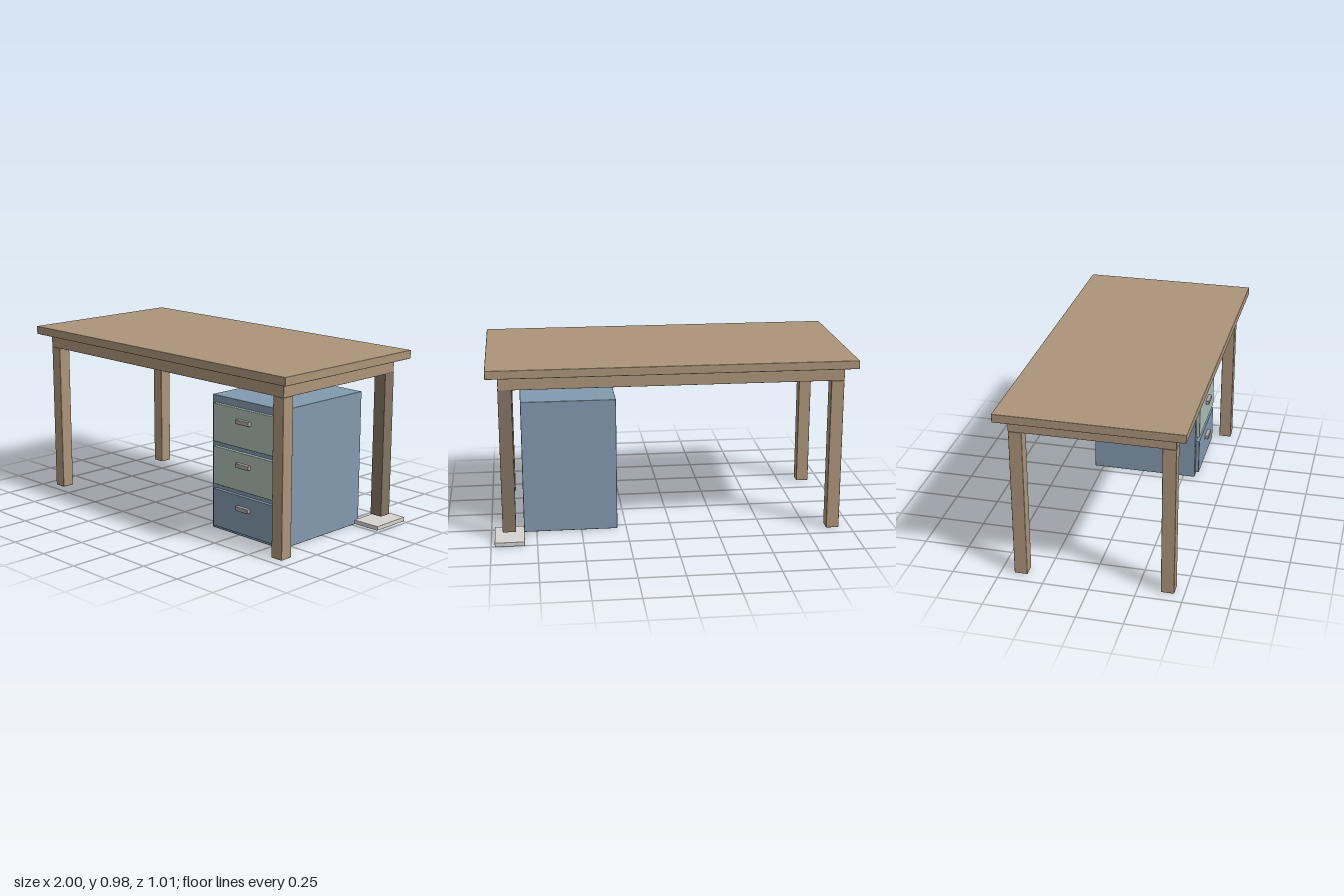
import * as THREE from 'three';
import { RoundedBoxGeometry } from 'three/addons/geometries/RoundedBoxGeometry.js';

const mat = (color) => new THREE.MeshStandardMaterial({ color });

export function createModel() {
  const desk = new THREE.Group();
  desk.name = 'desk';
  const wood = mat(0xac957a), darkWood = mat(0x857563);
  const blue = mat(0x8299ae), green = mat(0xabbfb4);
  const metal = mat(0xaaa7a6), pale = mat(0xd5d3d0);

  // Softly bevelled box given by its [min, max] range on each axis
  const box = (name, material, [x0, x1], [y0, y1], [z0, z1], bevel = 0.004, parent = desk) => {
    const geometry = new RoundedBoxGeometry(x1 - x0, y1 - y0, z1 - z0, 2, bevel);
    const mesh = new THREE.Mesh(geometry, material);
    mesh.name = name;
    mesh.position.set((x0 + x1) / 2, (y0 + y1) / 2, (z0 + z1) / 2);
    parent.add(mesh);
    return mesh;
  };

  // Top and the solid apron under it
  box('tabletop', wood, [-1, 1], [0.93, 0.977], [-0.487, 0.507]);
  box('apron', wood, [-0.935, 0.935], [0.853, 0.93], [-0.425, 0.447], 0.002);

  // Three full-length legs
  const right = [-0.935, -0.863], left = [0.863, 0.935];
  const front = [0.375, 0.447], back = [-0.425, -0.353];
  box('frontRightLeg', wood, right, [0, 0.853], front);
  box('frontLeftLeg', wood, left, [0, 0.853], front);
  box('backRightLeg', wood, right, [0, 0.853], back);

  // Shorter, darker leg above a loose floor plate
  box('shortBackLeftLeg', darkWood, [0.863, 0.936], [0.052, 0.857], back, 0.001);
  box('floorPlate', pale, [0.818, 0.98], [0.002, 0.025], [-0.507, -0.27], 0.001);

  // Drawer cabinet
  const cabinet = new THREE.Group();
  cabinet.name = 'drawerCabinet';
  desk.add(cabinet);
  box('cabinetBody', blue, [0.3, 0.82], [0, 0.75], [-0.3, 0.32], 0.004, cabinet);

  // Drawer fronts from bottom to top, each with its handle
  [blue, green, green].forEach((material, i) => {
    const y = 0.02 + i * 0.2385;
    const drawer = new THREE.Group();
    drawer.name = `drawer${i + 1}`;
    cabinet.add(drawer);
    box('drawerFront', material, [0.325, 0.795], [y, y + 0.212], [0.315, 0.34], 0.003, drawer);
    box('drawerHandle', metal, [0.511, 0.607], [y + 0.132, y + 0.156], [0.337, 0.362], 0.004, drawer);
  });

  return desk;
}
